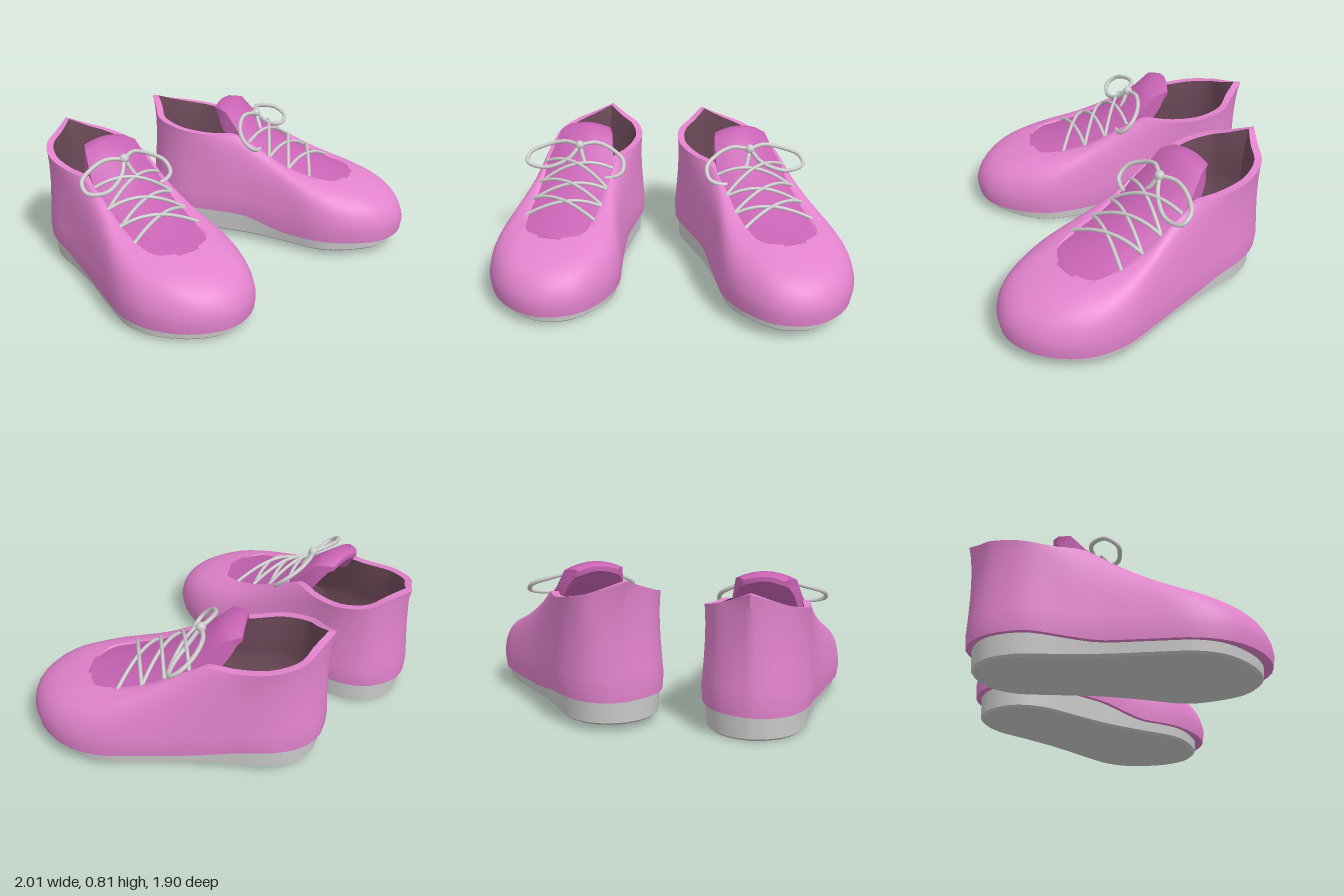
import * as THREE from 'three';
import { toCreasedNormals } from 'three/addons/utils/BufferGeometryUtils.js';

const { lerp, smoothstep, clamp } = THREE.MathUtils;
const V = (x, y, z) => new THREE.Vector3(x, y, z);
const N = 72;

const mat = (color) => new THREE.MeshStandardMaterial({ color, roughness: 0.7, side: THREE.DoubleSide });
const pink = mat(0xe283cd), deepPink = mat(0xc863b4), dark = mat(0x6e4a5a), grey = mat(0xcccccc);

// Plan of the foot and the top edge (collar, then throat), heel to toe: [x, y, z right, z left]
const plan = [
  [0.015, 0, 0.015, 0.015], [0.04, 0, -0.09, 0.12], [0.115, 0, -0.19, 0.225], [0.28, 0, -0.265, 0.3],
  [0.5, 0, -0.28, 0.305], [0.72, 0, -0.3, 0.305], [0.95, 0, -0.34, 0.335], [1.18, 0, -0.37, 0.375],
  [1.38, 0, -0.32, 0.335], [1.55, 0, -0.17, 0.225], [1.62, 0, 0.035, 0.035],
];
const edge = [
  [0, 0.74, 0.015, 0.015], [0.065, 0.7, -0.085, 0.115], [0.13, 0.665, -0.185, 0.215], [0.28, 0.637, -0.25, 0.28],
  [0.45, 0.615, -0.245, 0.265], [0.62, 0.61, -0.22, 0.22], [0.75, 0.55, -0.205, 0.205], [0.92, 0.457, -0.2, 0.2],
  [1.1, 0.402, -0.195, 0.195], [1.22, 0.38, -0.16, 0.16], [1.27, 0.374, 0, 0],
];

// Closed loop: heel, right side, toe, left side, back to the heel
function loop(rows) {
  const right = rows.map(([x, y, a]) => V(x, y, a));
  const left = rows.slice(0, -1).reverse().map(([x, y, , b]) => V(x, y, b));
  const curve = new THREE.CatmullRomCurve3([...right, ...left], false, 'centripetal');
  return Array.from({ length: N }, (_, i) => curve.getPoint(i / N));
}

// Nearest point on the long axis, and a horizontal shift towards it
const axis = (p, y) => V(clamp(p.x, 0.28, 1.15), y, 0.01);
function inset(p, d, y = p.y) {
  const q = p.clone().addScaledVector(axis(p, p.y).sub(p).normalize(), d);
  q.y = y;
  return q;
}

// Height of the seam between upper and sole: raised heel, longer arch on the inner side
function seam(p) {
  const outer = 0.12 - 0.055 * smoothstep(p.x, 0.3, 0.75);
  const inner = 0.13 - 0.065 * smoothstep(p.x, 0.65, 1.0);
  return lerp(outer, inner, smoothstep(p.z, -0.12, 0.2));
}
const overhang = (p) => 0.028 + 0.03 * smoothstep(p.x, 1.2, 1.55) + 0.012 * (1 - smoothstep(p.x, 0, 0.2));

// Cubic from 0 to 1 with two control values
const bezier = (t, a, b) => 3 * (1 - t) ** 2 * t * a + 3 * (1 - t) * t * t * b + t ** 3;

// Skin closed rings of equal length, m = -1 mirrors the result
function skin(rings, m, crease) {
  const n = rings[0].length, pos = [], index = [];
  for (const ring of rings) for (const p of ring) pos.push(p.x, p.y, p.z * m);
  for (let r = 0; r < rings.length - 1; r++) {
    for (let i = 0; i < n; i++) {
      const a = r * n + i, b = r * n + (i + 1) % n, c = b + n, d = a + n;
      if (m > 0) index.push(a, d, b, b, d, c);
      else index.push(a, b, d, b, c, d);
    }
  }
  const g = new THREE.BufferGeometry();
  g.setAttribute('position', new THREE.Float32BufferAttribute(pos, 3));
  g.setIndex(index);
  return toCreasedNormals(g, crease);
}

// Tongue stations: [x, centre height, half width, fall at the sides, underside shift back, down]
const tongue = [
  [0.452, 0.755, 0.105, 0.02, 0, 0.025], [0.475, 0.768, 0.13, 0.025, 0, 0.045], [0.54, 0.772, 0.16, 0.04, 0.04, 0.075],
  [0.62, 0.71, 0.185, 0.075, 0.055, 0.08], [0.72, 0.622, 0.21, 0.07, 0.02, 0.055], [0.82, 0.555, 0.21, 0.065, 0, 0.04],
  [0.92, 0.5, 0.21, 0.06, 0, 0.04], [1.1, 0.423, 0.205, 0.035, 0, 0.04],
  [1.2, 0.395, 0.182, 0.022, 0, 0.04], [1.282, 0.375, 0.09, 0.01, 0, 0.04],
];
function tongueY(x, z) {
  let i = 0;
  while (i < tongue.length - 2 && tongue[i + 1][0] < x) i++;
  const [a, b] = [tongue[i], tongue[i + 1]];
  const [, y, w, fall] = a.map((v, k) => lerp(v, b[k], (x - a[0]) / (b[0] - a[0])));
  return y - fall * (z / w) ** 2;
}

function tongueRings() {
  const K = 8;
  const rings = tongue.map(([x, y, w, fall, back, down]) => {
    const ring = [];
    for (let k = 0; k <= K; k++) {
      const t = 1 - 2 * k / K;
      ring.push(V(x, y - fall * t * t, w * t));
    }
    for (let k = K; k >= 0; k--) {
      const t = 1 - 2 * k / K;
      ring.push(V(x - back, y - fall * t * t - down, w * t * 0.95));
    }
    return ring;
  });
  const cap = ([x, y]) => Array(2 * K + 2).fill(V(x, y - 0.015, 0));
  return [cap(tongue[0]), ...rings, cap(tongue[tongue.length - 1])];
}

function createShoe(m) {
  const shoe = new THREE.Group();
  const add = (name, geometry, material) => {
    const mesh = new THREE.Mesh(geometry, material);
    mesh.name = name;
    shoe.add(mesh);
    return mesh;
  };
  const base = loop(plan), rim = loop(edge);

  // Upper: walls from the seam to the rim, slightly waisted at the heel and fuller at the toe
  const walls = [];
  const S = 12;
  for (let j = 1; j <= S; j++) {
    const t = j / S;
    walls.push(base.map((p, i) => {
      const k = smoothstep(p.x, 0.8, 1.3), r = rim[i];
      const h = bezier(t, lerp(0.12, -0.04, k), lerp(0.5, 0.47, k));
      const v = bezier(t, lerp(0.45, 0.7, k), 0.85);
      const waist = 0.016 * Math.sin(Math.PI * t) * (1 - smoothstep(p.x, 0.3, 0.8));
      return inset(V(lerp(p.x, r.x, h), lerp(seam(p) + 0.02, r.y, v), lerp(p.z, r.z, h)), waist);
    }));
  }
  const thin = (p) => inset(p, 0.04, p.y - 0.035 * smoothstep(p.x, 0.6, 0.75));
  const inner = rim.map(thin);
  add('upper', skin([
    base.map((p) => inset(p, overhang(p) + 0.012, seam(p))), base.map((p) => inset(p, 0.01, seam(p) + 0.006)),
    ...walls, inner,
  ], m, 0.9), pink);

  // Lining follows the walls down to a narrower insole
  add('lining', skin([
    inner, ...walls.slice(3, -1).reverse().map((ring) => ring.map(thin)),
    base.map((p) => inset(p, 0.12, 0.17)), base.map((p) => axis(p, 0.16)),
  ], m, 0.7), dark);

  // Sole: flat below, with a raised heel and arch
  add('sole', skin([
    base.map((p) => axis(p, 0)), base.map((p) => inset(p, overhang(p) + 0.02, 0)),
    base.map((p) => inset(p, overhang(p) + 0.006, 0.012)), base.map((p) => inset(p, overhang(p), seam(p) + 0.008)),
    base.map((p) => axis(p, seam(p) + 0.008)),
  ], m, 0.7), grey);

  add('tongue', skin(tongueRings(), m, 0.95), deepPink);

  // Crossed laces
  const tube = (name, pts, radius, steps) => add(name, new THREE.TubeGeometry(
    new THREE.CatmullRomCurve3(pts.map((p) => V(p.x, p.y, p.z * m))), steps, radius, 8), grey);
  const eyelets = [0.7, 0.83, 0.95, 1.08];
  for (let i = 0; i < 3; i++) {
    for (const side of [-1, 1]) {
      const pts = [];
      for (let k = 0; k <= 6; k++) {
        const t = k / 6, x = lerp(eyelets[i], eyelets[i + 1], t), z = side * lerp(-0.205, 0.205, t);
        const lift = 0.006 + 0.01 * Math.sin(Math.PI * t) + (side > 0 ? 0.008 : 0);
        pts.push(V(x, tongueY(x, z) + lift, z));
      }
      tube('lace', pts, 0.01, 20);
    }
  }

  // Bow: a knot with a loop on each side, the inner one hanging lower
  const knot = V(0.68, 0.695, 0);
  const bow = [[0, 0, 0], [-0.03, 0.005, 0.1], [-0.01, -0.02, 0.21], [0.045, -0.055, 0.295],
    [0.1, -0.095, 0.295], [0.11, -0.115, 0.18], [0.055, -0.07, 0.055], [0, 0, 0]];
  for (const [side, shift, droop, reach] of [[-1, 0, 1, 1], [1, 0.15, 1.4, 0.9]]) {
    tube('bowLoop', bow.map(([x, y, z]) => V(
      knot.x + x - shift * z, knot.y + y * droop, side * z * reach)), 0.012, 48);
  }
  add('knot', new THREE.SphereGeometry(0.027, 16, 12), grey).position.copy(knot);
  return shoe;
}

export function createModel() {
  const model = new THREE.Group();
  const backShoe = createShoe(1);
  backShoe.name = 'backShoe';
  backShoe.position.set(-0.615, 0.035, -0.575);
  const frontShoe = createShoe(-1);
  frontShoe.name = 'frontShoe';
  frontShoe.position.set(-0.988, 0, -0.073);
  frontShoe.rotation.y = -THREE.MathUtils.degToRad(33.3);
  model.add(backShoe, frontShoe);
  return model;
}
